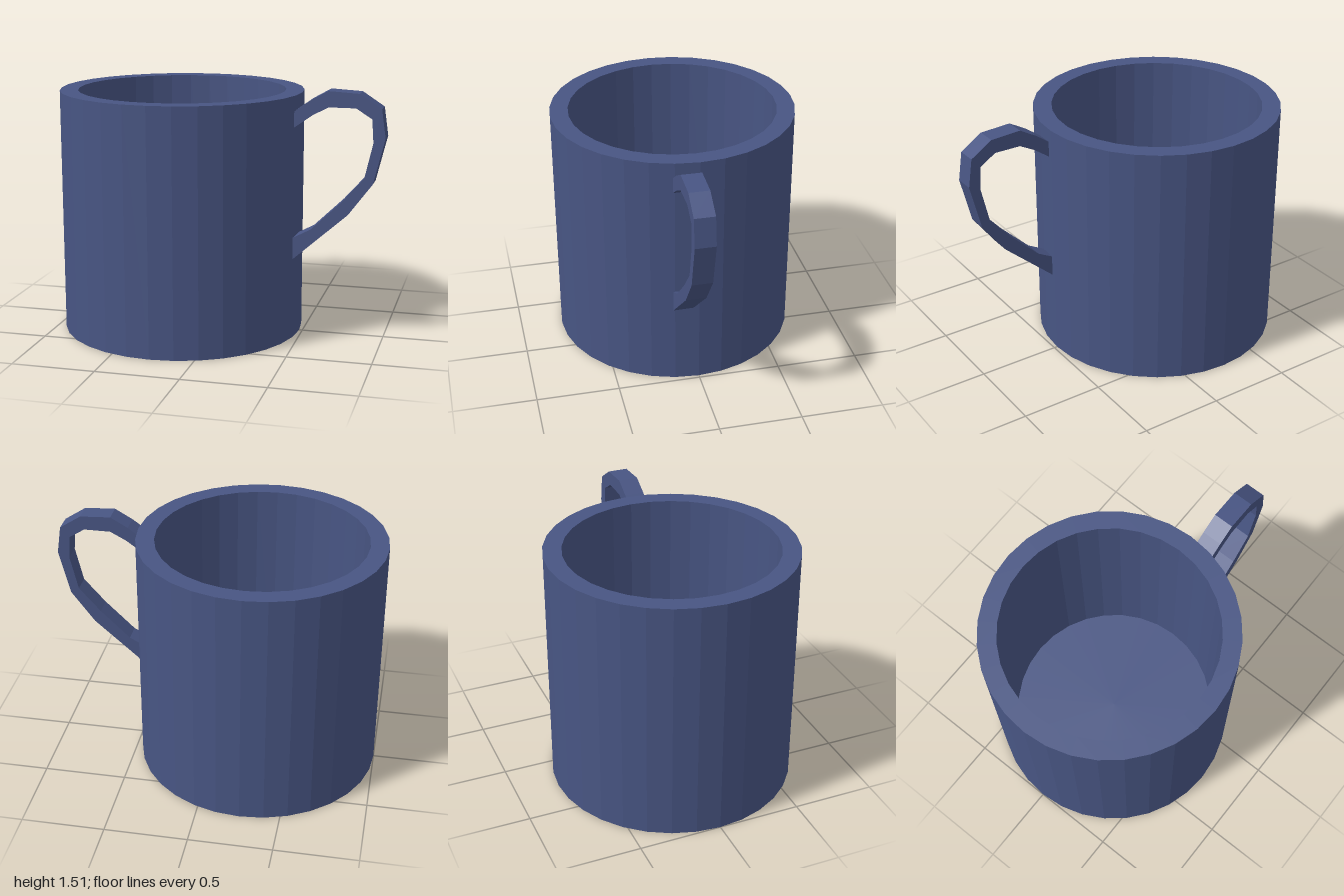
import * as THREE from 'three';

export function createModel() {
  const group = new THREE.Group();
  const material = new THREE.MeshStandardMaterial({ color: 0x485583, flatShading: true });
  const add = (name, geometry) => {
    const mesh = new THREE.Mesh(geometry, material);
    mesh.name = name;
    group.add(mesh);
    return mesh;
  };

  // Cup: thick-walled faceted cylinder, open at the top
  const R = 0.74, r = 0.63, height = 1.48, floor = 0.11;
  const profile = [[0, 0], [R, 0], [R, height], [r, height], [r, floor], [0, floor]]
    .map(([x, y]) => new THREE.Vector2(x, y));
  add('cup', new THREE.LatheGeometry(profile, 32)).position.x = -0.26;

  // Handle: angular strap, its ends sunk into the cup wall
  const outer = [[0.43, 1.365], [0.555, 1.455], [0.66, 1.515], [0.845, 1.505], [0.975, 1.42],
    [1, 1.25], [0.933, 0.977], [0.79, 0.785], [0.43, 0.465]];
  const inner = [[0.43, 0.61], [0.57, 0.685], [0.75, 0.86], [0.882, 1.01], [0.93, 1.22],
    [0.92, 1.36], [0.825, 1.42], [0.665, 1.42], [0.57, 1.37], [0.43, 1.27]];
  const shape = new THREE.Shape([...outer, ...inner].map(([x, y]) => new THREE.Vector2(x, y)));
  add('handle', new THREE.ExtrudeGeometry(shape, { depth: 0.12, bevelEnabled: false }))
    .position.z = 0.035;

  return group;
}
